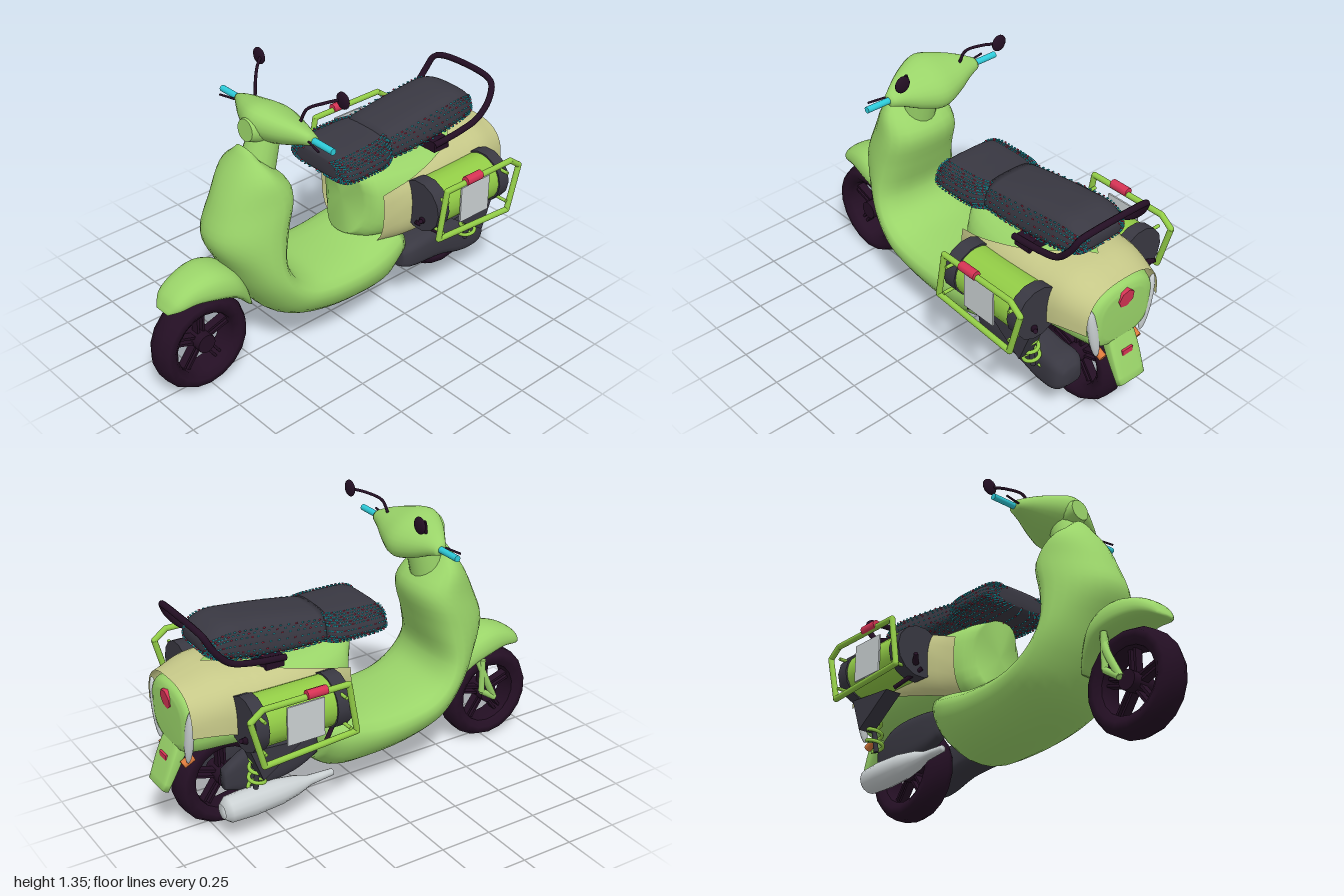
import * as THREE from 'three';
import { mergeGeometries } from 'three/addons/utils/BufferGeometryUtils.js';

const V = (x, y, z) => new THREE.Vector3(x, y, z);
const mat = (name, color, double) => {
  const m = new THREE.MeshStandardMaterial({ color });
  m.name = name;
  if (double) m.side = THREE.DoubleSide;
  return m;
};

// Superellipse ring around c with half axes u and v; egg narrows the +u end
function oval(c, u, v, p = 0.8, egg = 0, n = 24, a0 = 0, a1 = Math.PI * 2) {
  const pw = t => Math.sign(t) * Math.abs(t) ** p;
  return Array.from({ length: n }, (_, i) => {
    const a = a0 + (a1 - a0) * i / (a1 - a0 > 6.28 ? n : n - 1);
    const s = pw(Math.cos(a));
    return c.clone().addScaledVector(u, s).addScaledVector(v, pw(Math.sin(a)) * (1 - egg * s));
  });
}

// Skin through rings, smoothed lengthwise; closed skins get end caps
function loft(rings, steps = 4, closed = true) {
  const n = rings[0].length, m = (rings.length - 1) * steps + 1;
  const cols = rings[0].map((_, j) => new THREE.CatmullRomCurve3(rings.map(r => r[j])).getPoints(m - 1));
  const pos = [], idx = [];
  for (let i = 0; i < m; i++) for (let j = 0; j < n; j++) pos.push(...cols[j][i].toArray());
  for (let i = 0; i < m - 1; i++) for (let j = 0; j < (closed ? n : n - 1); j++) {
    const a = i * n + j, b = i * n + (j + 1) % n;
    idx.push(a, b, b + n, a, b + n, a + n);
  }
  if (closed) for (const e of [0, m - 1]) {
    const c = V(0, 0, 0), k = pos.length / 3;
    for (let j = 0; j < n; j++) c.addScaledVector(cols[j][e], 1 / n);
    pos.push(...c.toArray());
    for (let j = 0; j < n; j++) {
      const a = e * n + j, b = e * n + (j + 1) % n;
      idx.push(...(e ? [k, a, b] : [k, b, a]));
    }
  }
  // make faces point outward
  const at = i => V(pos[i * 3], pos[i * 3 + 1], pos[i * 3 + 2]);
  let vol = 0;
  for (let i = 0; i < idx.length; i += 3) vol += at(idx[i]).dot(at(idx[i + 1]).cross(at(idx[i + 2])));
  if (vol < 0) idx.reverse();
  const g = new THREE.BufferGeometry();
  g.setAttribute('position', new THREE.Float32BufferAttribute(pos, 3));
  g.setIndex(idx);
  g.computeVertexNormals();
  return g;
}

const tube = (pts, r, seg = 32) => new THREE.TubeGeometry(new THREE.CatmullRomCurve3(pts), seg, r, 8);
const box = (w, h, d, x, y, z) => new THREE.BoxGeometry(w, h, d).translate(x, y, z);
const rod = (a, b, r0, r1 = r0, sides = 14) => {
  const d = b.clone().sub(a);
  return new THREE.CylinderGeometry(r1, r0, d.length(), sides)
    .applyQuaternion(new THREE.Quaternion().setFromUnitVectors(V(0, 1, 0), d.clone().normalize()))
    .translate(...a.clone().add(b).multiplyScalar(0.5).toArray());
};

export function createModel() {
  const root = new THREE.Group();
  root.name = 'scooter';
  const green = mat('body green', 0x9ad469), tan = mat('panel tan', 0xc6c888, true);
  const grey = mat('dark grey', 0x393842), black = mat('tyre black', 0x240f24);
  const cyan = mat('cyan', 0x2eccdb), red = mat('red', 0xd93456), silver = mat('silver', 0xcbd1d3);
  const orange = mat('orange', 0xdd7a3c), lime = mat('rack lime', 0x92cc46);
  const add = (name, g, m, parent = root) => {
    const mesh = new THREE.Mesh(g, m);
    mesh.name = name;
    parent.add(mesh);
    return mesh;
  };
  // Loft between outer and inner profile points: [ox, oy, ix, iy, halfWidth]
  const shell = (rows, egg, p) => loft(rows.map(([a, b, c, d, w]) =>
    oval(V((a + c) / 2, (b + d) / 2, 0), V((a - c) / 2, (b - d) / 2, 0), V(0, 0, w), p, egg)));

  // Leg shield and floor
  add('legShieldAndFloor', shell([
    [-0.49, 1.1, -0.46, 1.05, 0.06], [-0.58, 0.97, -0.4, 1.0, 0.15], [-0.65, 0.83, -0.31, 0.9, 0.185],
    [-0.69, 0.7, -0.35, 0.73, 0.205], [-0.62, 0.55, -0.39, 0.58, 0.225], [-0.54, 0.4, -0.36, 0.5, 0.24],
    [-0.42, 0.25, -0.28, 0.45, 0.25], [-0.25, 0.175, -0.18, 0.43, 0.25], [0, 0.14, 0, 0.43, 0.25],
    [0.18, 0.145, 0.14, 0.46, 0.24], [0.27, 0.21, 0.27, 0.48, 0.21]], 0.25, 0.88), green);
  // Front fender
  add('frontFender', shell([
    [-0.955, 0.475, -0.945, 0.462, 0.04], [-0.92, 0.535, -0.9, 0.47, 0.08], [-0.84, 0.585, -0.83, 0.475, 0.1],
    [-0.72, 0.607, -0.73, 0.455, 0.12], [-0.61, 0.56, -0.65, 0.43, 0.12], [-0.55, 0.46, -0.59, 0.39, 0.1],
    [-0.51, 0.34, -0.54, 0.34, 0.07]], 0.1, 0.8), green);

  // Rear body and its side panels: [x, bottom, top, halfWidth, panel gap, panel lower and upper angle]
  const rear = [[0.04, 0.45, 0.8, 0.12], [0.13, 0.41, 0.8, 0.185, 0.03, -0.9, 0.3],
    [0.3, 0.42, 0.79, 0.235, 0.038, -0.65, 0.6], [0.55, 0.43, 0.79, 0.24, 0.035, -0.35, 1],
    [0.75, 0.44, 0.78, 0.225, 0.03, -0.12, Math.PI / 2], [0.87, 0.44, 0.75, 0.195, 0.028, -0.05, Math.PI / 2],
    [0.905, 0.45, 0.735, 0.175, 0.035, -0.05, Math.PI / 2], [0.92, 0.48, 0.7, 0.13]];
  const rearRing = ([x, b, t, w], k, ...rest) =>
    oval(V(x, (b + t) / 2, 0), V(0, 0, w + k), V(0, (t - b) / 2 + k, 0), 0.75, 0, ...rest);
  const bodyRings = rear.map(r => rearRing(r, 0));
  // hollow front edge below the seat
  bodyRings[0].forEach(q => { q.x += 0.05 * (1 - ((q.y - 0.625) / 0.175) ** 2); });
  add('rearBody', loft(bodyRings), green);
  // panels meet over the tail and open towards the seat
  for (const s of [1, -1]) add('sidePanel', loft(rear.slice(1, 7).map(r => {
    const ring = rearRing(r, r[4], 16, r[5], r[6]);
    ring.forEach(q => { q.z *= s; });
    return ring;
  }), 4, false), tan);

  // Tail flap and lights
  add('tailFlap', loft([
    oval(V(0.87, 0.5, 0), V(0.03, 0.02, 0), V(0, 0, 0.075), 0.4),
    oval(V(0.925, 0.39, 0), V(0.025, 0.012, 0), V(0, 0, 0.08), 0.4),
    oval(V(0.98, 0.27, 0), V(0.016, 0.008, 0), V(0, 0, 0.075), 0.4)]), green);
  add('tailLight', rod(V(0.88, 0.68, 0), V(0.926, 0.675, 0), 0.048, 0.045, 7), red);
  add('rearReflector', box(0.02, 0.03, 0.06, 0.943, 0.405, 0), red);
  for (const s of [1, -1]) {
    add('turnSignal', rod(V(0.86, 0.425, s * 0.105), V(0.91, 0.4, s * 0.105), 0.019), orange);
    const trim = add('tailTrim', new THREE.SphereGeometry(1, 12, 10), silver);
    trim.scale.set(0.02, 0.14, 0.027);
    trim.position.set(0.897, 0.555, s * 0.16);
    trim.rotation.x = s * 0.2;
  }

  // Handlebar cover, headlight and neck
  add('handlebarCover', loft([[-0.25, -0.31, 1.165, 0.025, 0.022], [-0.19, -0.32, 1.168, 0.055, 0.042],
    [-0.1, -0.33, 1.163, 0.1, 0.068], [0, -0.335, 1.16, 0.13, 0.085], [0.1, -0.33, 1.163, 0.1, 0.068],
    [0.19, -0.32, 1.168, 0.055, 0.042], [0.25, -0.31, 1.165, 0.025, 0.022]].map(([z, x, y, a, b]) =>
    oval(V(x, y, z), V(a, -a * 0.4, 0), V(b * 0.2, b, 0), 0.9))), green);
  add('headlight', rod(V(-0.41, 1.165, 0), V(-0.475, 1.17, 0), 0.07, 0.05, 18), green);
  add('steeringNeck', rod(V(-0.43, 0.94, 0), V(-0.37, 1.13, 0), 0.085, 0.07, 18), green);
  for (const s of [1, -1]) {
    add('grip', rod(V(-0.31, 1.165, s * 0.24), V(-0.31, 1.165, s * 0.37), 0.015), cyan);
    add('brakeLever', rod(V(-0.33, 1.17, s * 0.22), V(-0.355, 1.165, s * 0.33), 0.005), black);
    add('mirrorStem', tube([V(-0.3, 1.21, s * 0.15), V(-0.28, 1.27, s * 0.17), V(-0.23, 1.3, s * 0.22),
      V(-0.18, 1.315, s * 0.26)], 0.007), black);
    add('mirror', new THREE.SphereGeometry(0.039, 14, 10).scale(0.35, 1, 1).translate(-0.175, 1.315, s * 0.275), black);
  }

  // Wheels: tyre ring, paired spokes, hub
  for (const [name, x] of [['frontWheel', -0.77], ['rearWheel', 0.68]]) {
    const w = new THREE.Group();
    w.name = name;
    w.position.set(x, 0.235, 0);
    root.add(w);
    const prof = [[0.15, -0.05], [0.18, -0.072], [0.21, -0.07], [0.232, -0.03], [0.232, 0.03],
      [0.21, 0.07], [0.18, 0.072], [0.15, 0.05], [0.15, -0.05]].map(q => new THREE.Vector2(...q));
    add('tyre', new THREE.LatheGeometry(prof, 18).rotateX(Math.PI / 2), black, w);
    add('hub', rod(V(0, 0, -0.06), V(0, 0, 0.06), 0.045), black, w);
    for (let i = 0; i < 5; i++) for (const k of [-0.014, 0.014])
      add('spoke', box(0.13, 0.012, 0.04, 0.09, k, 0).rotateZ(i * Math.PI * 0.4 + 0.3), black, w);
  }
  // One-sided front fork
  add('fork', tube([V(-0.67, 0.47, -0.08), V(-0.7, 0.38, -0.1), V(-0.77, 0.235, -0.095)], 0.018), green);
  add('forkLink', rod(V(-0.77, 0.235, -0.1), V(-0.69, 0.29, -0.1), 0.015), green);
  add('forkBrace', rod(V(-0.69, 0.29, -0.1), V(-0.69, 0.46, -0.1), 0.015), green);

  // Two-part seat: [x, bottom, top, halfWidth], with the first stitched row
  const seats = [
    ['frontSeat', 4, [[-0.085, 0.83, 0.9, 0.13], [-0.065, 0.81, 0.925, 0.185], [0.06, 0.8, 0.935, 0.195],
      [0.17, 0.8, 0.94, 0.185], [0.22, 0.81, 0.945, 0.16]]],
    ['rearSeat', 7, [[0.2, 0.81, 0.945, 0.155], [0.35, 0.805, 0.97, 0.16], [0.55, 0.82, 0.995, 0.16],
      [0.68, 0.84, 1.0, 0.155], [0.75, 0.86, 0.97, 0.135], [0.78, 0.89, 0.94, 0.09]]],
  ];
  for (const [name, first, rows] of seats) {
    const rings = k => rows.map(([x, b, t, w]) =>
      oval(V(x, (b + t) / 2, 0), V(0, (t - b) / 2 + k, 0), V(0, 0, w + k), 0.62, 0.1, 40));
    add(name, loft(rings(0)), grey);
    // staggered rows of small stitches standing off the sides
    const skin = rings(0.005), threads = [[], []];
    for (let j = first; j <= 40 - first; j++) {
      const curve = new THREE.CatmullRomCurve3(skin.map(r => r[j]));
      for (let i = 0; i < 26; i++) {
        const q = curve.getPoint((i + (j % 2) / 2) / 26);
        threads[(i * 3 + j) % 4 ? 0 : 1].push(box(0.009, 0.004, 0.004, q.x, q.y, q.z));
      }
    }
    add('cyanStitches', mergeGeometries(threads[0]), cyan);
    add('redStitches', mergeGeometries(threads[1]), red);
  }
  add('seatMount', box(0.09, 0.05, 0.4, 0.5, 0.815, 0), black);
  // Grab rail
  const half = [[0.45, 0.83, 0.2], [0.62, 0.85, 0.205], [0.72, 0.88, 0.21], [0.79, 0.95, 0.21], [0.825, 1.015, 0.19],
    [0.838, 1.035, 0.14]];
  add('grabRail', tube([...half.map(q => V(...q)), ...half.reverse().map(([x, y, z]) => V(x, y, -z))], 0.015, 80), black);

  // Luggage rolls, racks and springs on both sides
  for (const s of [1, -1]) {
    const g = new THREE.Group();
    g.name = s > 0 ? 'leftLuggage' : 'rightLuggage';
    root.add(g);
    const cy = 0.635, cz = s * 0.305;
    add('roll', rod(V(0.32, cy, cz), V(0.67, cy, cz), 0.116, 0.116, 20), lime, g);
    for (const [a, b] of [[0.26, 0.33], [0.66, 0.72]])
      add('rollEnd', rod(V(a, cy, cz), V(b, cy, cz), 0.125, 0.125, 14), grey, g);
    for (const [x, d] of [[0.26, -1], [0.72, 1]])
      add('rollHook', rod(V(x, 0.57, s * 0.33), V(x + d * 0.04, 0.595, s * 0.36), 0.016, 0.01), black, g);
    const frame = [[0.29, 0.765], [0.7, 0.765], [0.76, 0.72], [0.7, 0.5], [0.25, 0.53]].map(q => V(...q, s * 0.447));
    frame.forEach((q, i) => {
      add('rackBar', rod(q, frame[(i + 1) % 5], 0.014), lime, g);
      add('rackJoint', new THREE.SphereGeometry(0.014, 8, 6).translate(q.x, q.y, q.z), lime, g);
    });
    for (const [x, y] of [[0.3, 0.7], [0.69, 0.7], [0.28, 0.55], [0.69, 0.55]])
      add('rackStay', rod(V(x, y, s * 0.38), V(x, y, s * 0.447), 0.008), lime, g);
    add('plate', box(0.18, 0.18, 0.008, 0.49, 0.64, s * 0.43), silver, g);
    add('rackReflector', rod(V(0.402, 0.775, s * 0.45), V(0.498, 0.775, s * 0.45), 0.022, 0.022, 8), red, g);
    // Triangular bag under the roll
    const tri = new THREE.Shape([[0.45, 0.5], [0.65, 0.36], [0.71, 0.52]].map(q => new THREE.Vector2(...q)));
    add('underBag', new THREE.ExtrudeGeometry(tri, { depth: 0.08, bevelEnabled: false })
      .translate(0, 0, s > 0 ? 0.265 : -0.345), grey, g);
    add('strut', rod(V(0.25, 0.55, s * 0.3), V(0.36, 0.47, s * 0.37), 0.01), black, g);
    const coil = Array.from({ length: 41 }, (_, i) => {
      const t = i / 40, a = t * Math.PI * 8;
      return V(0.64 + 0.036 * Math.cos(a), 0.49 - 0.21 * t, s * (0.285 - 0.03 * t + 0.036 * Math.sin(a)));
    });
    add('spring', tube(coil, 0.009, 100), lime, g);
    add('damper', rod(V(0.64, 0.5, s * 0.285), V(0.64, 0.27, s * 0.25), 0.012), grey, g);
  }

  // Engine casing and its smaller far side: [x, bottom, top, width factor]
  const casing = (rows, z, w) => loft(rows.map(([x, b, t, k = 1]) =>
    oval(V(x, (b + t) / 2, z), V(0, 0, w * k), V(0, (t - b) / 2, 0), 0.6)));
  add('engineCasing', casing([[0.25, 0.25, 0.34, 0.7], [0.29, 0.235, 0.365], [0.5, 0.21, 0.375], [0.66, 0.165, 0.355],
    [0.76, 0.18, 0.34], [0.8, 0.22, 0.3, 0.6]], 0.165, 0.08), grey);
  add('engineSide', casing([[0.28, 0.28, 0.4, 0.7], [0.4, 0.23, 0.42], [0.62, 0.21, 0.41], [0.74, 0.24, 0.34, 0.7]], -0.14, 0.04), grey);

  // Exhaust with a recessed end
  const pipe = [[0, 0], [0.016, 0], [0.02, 0.06], [0.024, 0.12], [0.045, 0.19], [0.06, 0.28], [0.066, 0.42], [0.06, 0.53],
    [0.035, 0.56], [0.028, 0.54], [0, 0.54]].map(q => new THREE.Vector2(...q));
  const exhaust = add('exhaust', new THREE.LatheGeometry(pipe, 14).rotateZ(-Math.PI / 2), silver);
  exhaust.position.set(0.22, 0.185, -0.195);
  exhaust.rotation.z = -0.03;

  return root;
}
